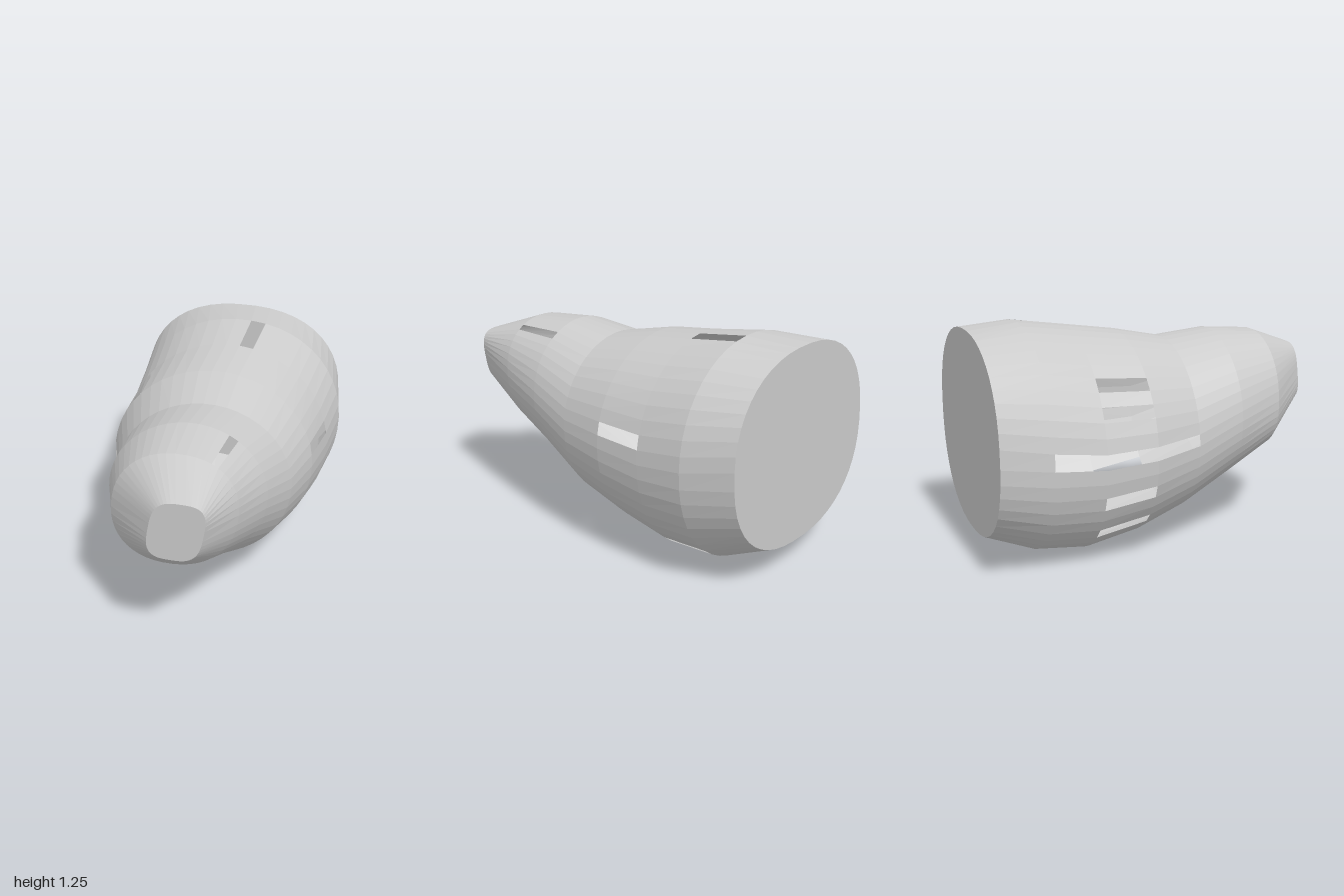
import * as THREE from 'three';

const SEGMENTS = 48;

// Hull stations, front to back: z, left, right, bottom, top, squareness, lean
const STATIONS = [
  [1, -0.01, 0.27, 0.69, 1.015, 3.2, 0.03],
  [0.714, -0.3, 0.37, 0.46, 1.12, 2.2, 0.04],
  [0.429, -0.415, 0.455, 0.31, 1.145, 2, 0.04],
  [0.143, -0.475, 0.525, 0.155, 1.115, 2, 0.04],
  [-0.143, -0.585, 0.585, 0.065, 1.175, 2, 0.04],
  [-0.429, -0.6, 0.615, 0, 1.215, 2, 0.04],
  [-0.714, -0.62, 0.64, 0.03, 1.255, 2.1, 0.03],
  [-1, -0.645, 0.585, 0.16, 1.235, 2.3, 0.02],
];

// Open slots in each band between stations (segment numbers round the hull)
const SLOTS = [[], [8], [], [24, 42], [2, 19, 21, 24, 27, 30], [11, 24, 41], []];

const power = (v, n) => Math.sign(v) * Math.abs(v) ** (2 / n);

// One rounded cross-section, counter-clockwise seen from the front
function section([z, left, right, bottom, top, n, lean]) {
  return Array.from({ length: SEGMENTS }, (_, k) => {
    const angle = ((k - 0.5) / SEGMENTS) * Math.PI * 2;
    const u = power(Math.cos(angle), n);
    const v = power(Math.sin(angle), n);
    return new THREE.Vector3(
      (left + right) / 2 + (u * (right - left)) / 2 + lean * v,
      (bottom + top) / 2 + (v * (top - bottom)) / 2,
      z
    );
  });
}

function meshFrom(points, name) {
  const geometry = new THREE.BufferGeometry().setFromPoints(points);
  geometry.computeVertexNormals();
  const material = new THREE.MeshStandardMaterial({
    color: 0xcccccc, flatShading: true, side: THREE.DoubleSide,
  });
  const mesh = new THREE.Mesh(geometry, material);
  mesh.name = name;
  return mesh;
}

// Flat end cap as a fan
function cap(ring, facesFront, name) {
  const points = [];
  for (let k = 1; k < SEGMENTS - 1; k++) {
    const pair = facesFront ? [ring[k], ring[k + 1]] : [ring[k + 1], ring[k]];
    points.push(ring[0], ...pair);
  }
  return meshFrom(points, name);
}

export function createModel() {
  const group = new THREE.Group();
  group.name = 'slottedHull';
  const rings = STATIONS.map(section);

  // Hull skin, one band per pair of stations, leaving the slots open
  SLOTS.forEach((open, i) => {
    const points = [];
    for (let k = 0; k < SEGMENTS; k++) {
      if (open.includes(k)) continue;
      const next = (k + 1) % SEGMENTS;
      const [a, b] = [rings[i][k], rings[i][next]];
      const [d, c] = [rings[i + 1][k], rings[i + 1][next]];
      points.push(a, d, c, a, c, b);
    }
    group.add(meshFrom(points, `hullBand${i + 1}`));
  });

  // Closed ends
  group.add(cap(rings[0], true, 'frontCap'));
  group.add(cap(rings[rings.length - 1], false, 'backCap'));
  return group;
}
